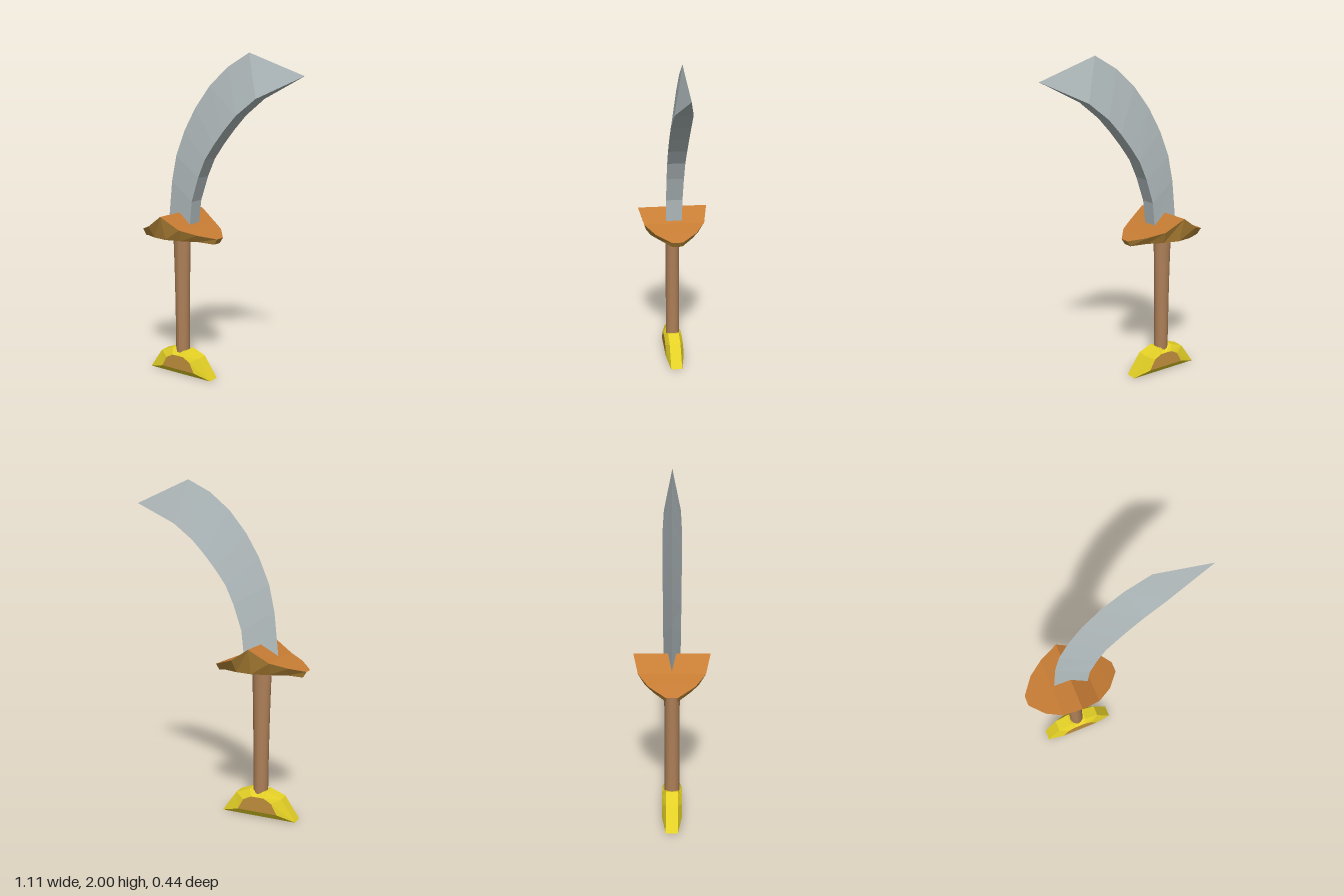
import * as THREE from 'three';

const flat = (name, color) => new THREE.MeshStandardMaterial({ name, color, flatShading: true });

// Geometry from a list of polygons, each counter-clockwise seen from outside
function fromFaces(faces) {
  const pos = [];
  for (const f of faces)
    for (let i = 1; i < f.length - 1; i++) pos.push(...f[0], ...f[i], ...f[i + 1]);
  const g = new THREE.BufferGeometry();
  g.setAttribute('position', new THREE.Float32BufferAttribute(pos, 3));
  g.computeVertexNormals();
  return g;
}

// Quads joining successive closed rings
function loft(rings) {
  const faces = [];
  for (let r = 0; r < rings.length - 1; r++) {
    const a = rings[r], b = rings[r + 1], n = a.length;
    for (let i = 0; i < n; i++) {
      const j = (i + 1) % n;
      faces.push([a[i], a[j], b[j], b[i]]);
    }
  }
  return faces;
}

export function createModel() {
  const root = new THREE.Group();
  root.name = 'curvedSword';
  const steel = flat('steel', 0xb6c0c2);
  const orange = flat('orangeWood', 0xc67c34);
  const ochre = flat('ochre', 0xc2903c);
  const yellow = flat('yellow', 0xe6d226);
  const grip = new THREE.MeshStandardMaterial({ name: 'brownGrip', color: 0xae8058 });
  const cx = -0.272;

  const add = (name, geometry, material, parent = root) => {
    const m = new THREE.Mesh(geometry, material);
    m.name = name;
    parent.add(m);
    return m;
  };

  // Blade: triangular section, sharp on the outer curve, flat on the inner one
  // [outer x, outer y, inner x, inner y, half thickness]
  const sections = [
    [-0.375, 0.96, -0.177, 0.975, 0.049], [-0.345, 1.24, -0.16, 1.13, 0.051],
    [-0.31, 1.40, -0.11, 1.28, 0.053], [-0.245, 1.555, -0.06, 1.39, 0.054],
    [-0.165, 1.69, 0.005, 1.48, 0.056], [-0.06, 1.82, 0.075, 1.565, 0.057],
    [0.065, 1.925, 0.155, 1.65, 0.057], [0.207, 2.0, 0.28, 1.745, 0.051],
  ];
  const tip = [0.555, 1.867, 0];
  const rings = sections.map(([ox, oy, ix, iy, w]) => [[ox, oy, 0], [ix, iy, w], [ix, iy, -w]]);
  rings.push([tip, tip, tip]);
  add('blade', fromFaces([[...rings[0]].reverse(), ...loft(rings)]), steel);

  // Guard: rounded plan, roof-shaped top, smaller underside
  const guard = new THREE.Group();
  guard.name = 'guard';
  guard.position.x = cx;
  root.add(guard);
  const mirror = (half) => [
    ...half.map(([x, y, z]) => [-x, y, z]),
    ...half.slice(0, -1).reverse(),
  ];
  const top = mirror([[0.284, 0.915, 0.032], [0.207, 0.945, 0.128], [0.115, 0.977, 0.188], [0, 1.052, 0.218]]);
  const low = mirror([[0.262, 0.88, 0.03], [0.19, 0.9, 0.1], [0.1, 0.903, 0.15], [0, 0.903, 0.17]]);
  const back = ([x, y, z]) => [x, y, -z];
  const last = top.length - 1;
  const topFaces = [], lowFaces = [];
  const sides = [
    [low[0], top[0], back(top[0]), back(low[0])].reverse(),
    [low[last], back(low[last]), back(top[last]), top[last]],
  ];
  for (let i = 0; i < last; i++) {
    const j = i + 1;
    topFaces.push([top[i], top[j], back(top[j]), back(top[i])]);
    lowFaces.push([low[j], low[i], back(low[i]), back(low[j])]);
    const side = [low[i], low[j], top[j], top[i]];
    sides.push(side, side.map(back).reverse());
  }
  add('guardTop', fromFaces(topFaces), orange, guard);
  add('guardUnderside', fromFaces(lowFaces), orange, guard);
  add('guardRim', fromFaces(sides), ochre, guard);

  // Handle: round, widening sideways towards the guard
  const handleGeo = new THREE.CylinderGeometry(0.045, 0.045, 0.8, 16, 6);
  const p = handleGeo.attributes.position;
  for (let i = 0; i < p.count; i++) {
    const t = p.getY(i) / 0.8 + 0.5;
    p.setX(i, p.getX(i) * (1 + 0.33 * t * t));
  }
  handleGeo.computeVertexNormals();
  add('handle', handleGeo, grip).position.set(cx, 0.515, 0);

  // Pommel: bevelled half disc with a coloured panel on each face
  const pommel = new THREE.Group();
  pommel.name = 'pommel';
  pommel.position.x = cx;
  root.add(pommel);
  const outer = [[-0.235, 0], [0.235, 0], [0.145, 0.13], [0.055, 0.165], [0, 0.152], [-0.055, 0.165], [-0.145, 0.13]];
  const inner = [[-0.125, 0.035], [0.125, 0.035], [0.09, 0.1], [0.042, 0.126], [0, 0.127], [-0.042, 0.126], [-0.09, 0.1]];
  const at = (shape, z) => shape.map(([x, y]) => [x, y, z]);
  add('pommelRim', fromFaces(loft([at(inner, -0.06), at(outer, -0.036), at(outer, 0.036), at(inner, 0.06)])), yellow, pommel);
  add('pommelPanels', fromFaces([at(inner, 0.06), at(inner, -0.06).reverse()]), ochre, pommel);

  return root;
}
